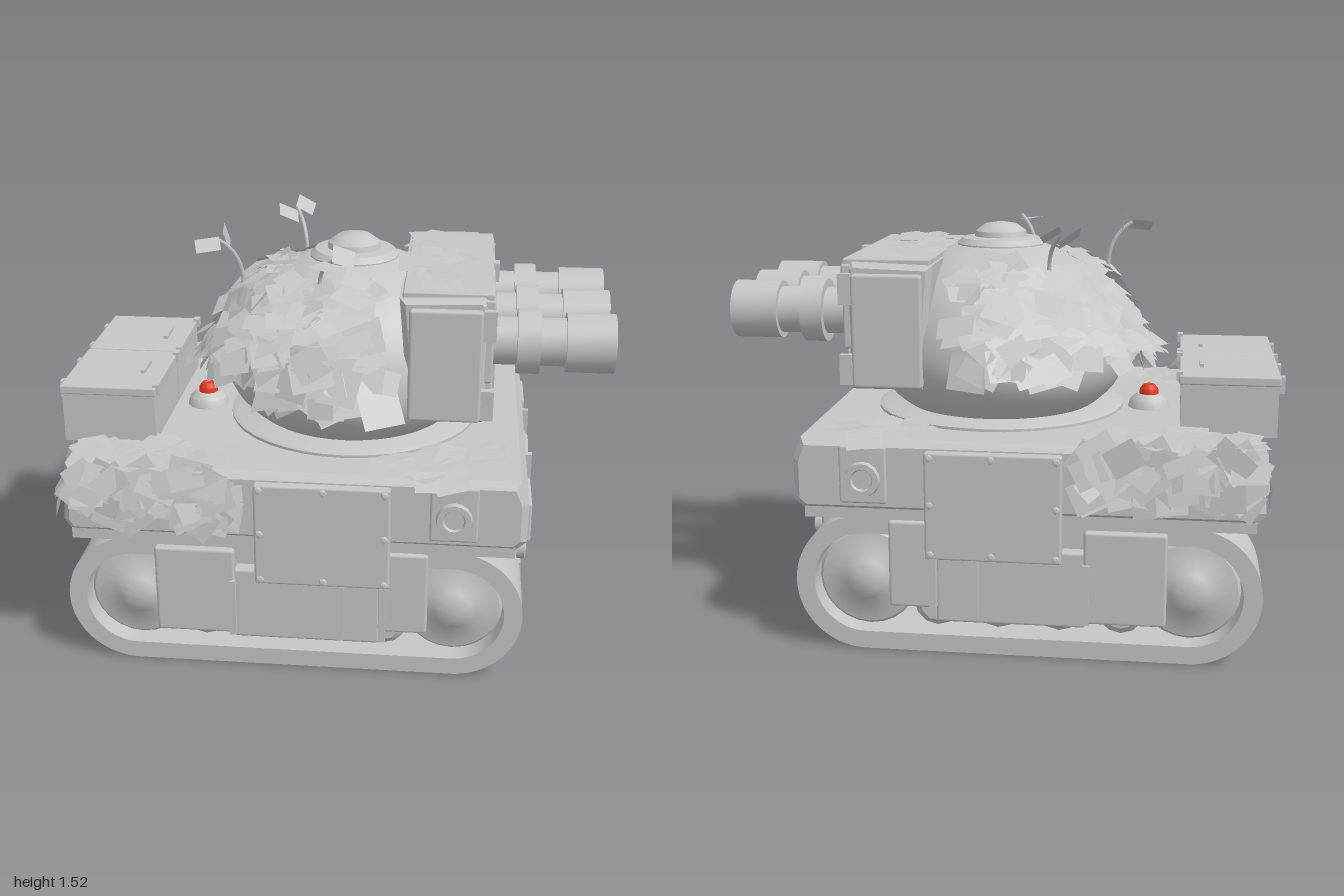
import * as THREE from 'three';
import { mergeGeometries, toCreasedNormals } from 'three/addons/utils/BufferGeometryUtils.js';
import { RoundedBoxGeometry } from 'three/addons/geometries/RoundedBoxGeometry.js';

const paint = (name, color, extra = {}) => Object.assign(new THREE.MeshStandardMaterial({ color, ...extra }), { name });

export function createModel() {
  const grey = paint('armour grey', 0xc6c6c6);
  const leafGrey = paint('leaf grey', 0xc6c6c6, { side: THREE.DoubleSide });
  const orange = paint('lamp orange', 0xe49d2c);
  const cream = paint('lamp cream', 0xe6d890);
  const red = paint('signal red', 0xe23a20);
  const darkRed = paint('tail light red', 0xba2416);

  const model = new THREE.Group();
  model.name = 'tank';
  const body = new THREE.Group();
  body.name = 'tankBody';
  body.position.z = -0.012;
  model.add(body);

  let seed = 7;
  const rnd = (a = 0, b = 1) => {
    seed = (seed * 16807) % 2147483647;
    return a + (b - a) * (seed / 2147483647);
  };
  const add = (name, geo, x = 0, y = 0, z = 0, mat = grey) => {
    const m = new THREE.Mesh(geo, mat);
    m.name = name;
    m.position.set(x, y, z);
    body.add(m);
    return m;
  };
  // Box given by its extents
  const box = (name, x0, x1, y0, y1, z0, z1, mat = grey, r = 0) => {
    const s = [x1 - x0, y1 - y0, z1 - z0];
    const geo = r ? new RoundedBoxGeometry(...s, 1, r) : new THREE.BoxGeometry(...s);
    return add(name, geo, (x0 + x1) / 2, (y0 + y1) / 2, (z0 + z1) / 2, mat);
  };
  // Turned part from [radius, height] pairs; axis is 'x', 'y', 'z' or '-z'
  const turned = (name, pts, axis, x, y, z, mat = grey, seg = 24) => {
    const geo = toCreasedNormals(new THREE.LatheGeometry(pts.map(p => new THREE.Vector2(...p)), seg), 0.6);
    if (axis === 'x') geo.rotateZ(-Math.PI / 2);
    if (axis === 'z') geo.rotateX(Math.PI / 2);
    if (axis === '-z') geo.rotateX(-Math.PI / 2);
    return add(name, geo, x, y, z, mat);
  };
  // Side profile extruded across z, with a chamfer
  const slab = (name, pts, halfWidth, bevel) => {
    const geo = new THREE.ExtrudeGeometry(new THREE.Shape(pts.map(p => new THREE.Vector2(...p))), {
      depth: 2 * (halfWidth - bevel), bevelEnabled: true, bevelSize: bevel, bevelOffset: -bevel,
      bevelThickness: bevel, bevelSegments: 1 });
    return add(name, geo, 0, 0, bevel - halfWidth);
  };

  // Hull
  slab('lowerHull', [[-0.88, 0.17], [-0.85, 0.14], [0.66, 0.14], [0.69, 0.17], [0.71, 0.52], [-0.89, 0.52]], 0.342, 0.012);
  slab('upperHull', [[-0.93, 0.56], [-0.9, 0.515], [0.68, 0.515], [0.72, 0.55], [0.72, 0.7], [0.69, 0.78], [-0.91, 0.78]], 0.63, 0.025);
  turned('turretRing', [[0.47, 0], [0.47, 0.015], [0.45, 0.025], [0, 0.025]], 'y', 0.06, 0.775, 0, grey, 40);

  // Track belt outline: two half circles joined by straights
  const stadium = (Path, r) => {
    const p = new Path();
    p.absarc(0.47, 0.25, r, -Math.PI / 2, Math.PI / 2, false);
    p.absarc(-0.68, 0.25, r, Math.PI / 2, Math.PI * 1.5, false);
    p.closePath();
    return p;
  };
  const belt = stadium(THREE.Shape, 0.25);
  belt.holes.push(stadium(THREE.Path, 0.185));
  const beltGeo = toCreasedNormals(new THREE.ExtrudeGeometry(belt, { depth: 0.274, bevelEnabled: false, curveSegments: 20 }), 0.5);

  for (const s of [1, -1]) {
    const axis = s > 0 ? 'z' : '-z';
    const side = (name, x0, x1, y0, y1, a, b, r = 0, mat = grey) =>
      box(name, x0, x1, y0, y1, Math.min(s * a, s * b), Math.max(s * a, s * b), mat, r);
    // Running gear
    add('trackBelt', beltGeo, 0, 0, s > 0 ? 0.346 : -0.62);
    for (const x of [-0.68, 0.47]) {
      turned('endWheel', [[0.18, 0], [0.18, 0.2], [0.17, 0.21], [0.09, 0.222], [0.07, 0.238], [0.04, 0.25], [0, 0.254]], axis, x, 0.25, s * 0.35);
    }
    for (const x of [-0.44, -0.22, 0, 0.22]) {
      turned('roadWheel', [[0.085, 0], [0.085, 0.2], [0.06, 0.22], [0, 0.22]], axis, x, 0.16, s * 0.35, grey, 12);
    }
    side('wheelCarrier', -0.6, 0.4, 0.15, 0.44, 0.33, 0.45);
    // Side skirts
    side('rearSkirt', -0.6, -0.31, 0.14, 0.48, 0.58, 0.645, 0.012);
    side('middleSkirt', -0.32, 0.21, 0.12, 0.4, 0.58, 0.635, 0.012);
    side('frontSkirt', 0.2, 0.38, 0.17, 0.49, 0.58, 0.635, 0.012);
    side('skirtRail', -0.9, 0.68, 0.49, 0.53, 0.56, 0.62);
    for (const x of [-0.32, 0.07, 0.22]) side('skirtRib', x - 0.012, x + 0.012, 0.14, 0.36, 0.63, 0.655);
    // Bolted armour panel
    side('armourPanel', -0.235, 0.245, 0.36, 0.75, 0.6, 0.66, 0.01);
    for (const x of [-0.215, 0.01, 0.225]) for (const y of [0.38, 0.56, 0.73]) {
      if (x === 0.01 && y === 0.56) continue;
      turned('panelBolt', [[0.014, 0], [0.012, 0.01], [0, 0.014]], axis, x, y, s * 0.659, grey, 8);
    }
    // Side port
    side('portPlate', 0.38, 0.55, 0.55, 0.76, 0.6, 0.638, 0.01);
    turned('sidePort', [[0.065, 0], [0.06, 0.02], [0.04, 0.02], [0.035, 0.01], [0, 0.01]], axis, 0.465, 0.64, s * 0.635, grey, 16);
    // Hull front panels, lamps and hooks
    side('frontPanel', 0.7, 0.732, 0.54, 0.69, 0.37, 0.59, 0.01);
    side('frontRib', 0.7, 0.742, 0.52, 0.71, 0.2, 0.225);
    side('lowerRib', 0.68, 0.725, 0.19, 0.42, 0.11, 0.14);
    turned('smallLampRim', [[0.046, 0], [0.046, 0.05], [0.036, 0.055], [0.036, 0.04], [0, 0.04]], 'x', 0.68, 0.36, s * 0.283, grey, 16);
    turned('smallLampGlass', [[0.036, 0], [0.028, 0.012], [0, 0.016]], 'x', 0.724, 0.36, s * 0.283, orange, 16);
    for (const [x, d, lift] of [[0.69, 1, 0], [-0.865, -1, 0.03]]) {
      box('hookMount', x - 0.03, x + 0.03, 0.25 + lift, 0.29 + lift, s * 0.235 - 0.055, s * 0.235 + 0.055);
      const loop = new THREE.CatmullRomCurve3([[-0.035, 0.27], [-0.035, 0.19], [0, 0.145], [0.035, 0.19], [0.035, 0.27]]
        .map(([z, y]) => new THREE.Vector3(0, y, z)), false, 'catmullrom', 0.1);
      add('towHook', new THREE.TubeGeometry(loop, 16, 0.013, 6), x + d * 0.02, lift, s * 0.235);
    }
    // Tail lights
    side('tailLightHousing', -0.9, -0.87, 0.39, 0.48, 0.18, 0.32);
    side('tailLight', -0.904, -0.899, 0.398, 0.472, 0.188, 0.312, 0, darkRed);
    side('rearRib', -0.9, -0.87, 0.24, 0.48, 0.1, 0.13);
    // Stowage box
    side('stowageBox', -0.97, -0.63, 0.77, 0.96, 0.006, 0.39);
    side('stowageLid', -0.976, -0.622, 0.955, 0.988, 0.004, 0.4, 0.006);
    side('lidHandle', -0.71, -0.695, 0.985, 1.0, 0.13, 0.25);
    for (const z of [0.09, 0.31]) side('lidLatch', -0.995, -0.96, 0.915, 0.975, z - 0.018, z + 0.018);
    for (const z of [0.03, 0.37]) side('lidHinge', -0.635, -0.612, 0.965, 0.998, z - 0.018, z + 0.018);
  }
  box('lowerFrontPanel', 0.68, 0.715, 0.315, 0.385, -0.2, 0.2, grey, 0.01);

  // Headlamp
  turned('headlampRim', [[0.155, 0], [0.155, 0.02], [0.135, 0.035], [0.115, 0.035], [0.105, 0.02], [0, 0.02]], 'x', 0.7, 0.545, 0);
  turned('headlampGlass', [[0.107, 0], [0.095, 0.015], [0.066, 0.022], [0, 0.022]], 'x', 0.718, 0.545, 0, orange);
  turned('headlampCentre', [[0.066, 0], [0, 0.006]], 'x', 0.741, 0.545, 0, cream);

  // Beacon
  turned('beaconBase', [[0.08, 0], [0.07, 0.03], [0.045, 0.05], [0, 0.05]], 'y', -0.51, 0.78, 0, grey, 16);
  turned('beacon', [[0.037, 0], [0.035, 0.02], [0.022, 0.036], [0, 0.042]], 'y', -0.51, 0.829, 0, red, 16);

  // Turret dome, flattened below its widest line
  const domePoint = t => [0.485 * Math.cos(t), 1.0 + (t > 0 ? 0.42 : 0.3) * Math.sin(t)];
  const dome = [[0, 0.79]];
  for (let i = 0; i <= 20; i++) dome.push(domePoint(-0.777 + (i / 20) * (0.777 + Math.PI / 2)));
  dome[dome.length - 1][0] = 0;
  turned('turretDome', dome, 'y', 0.06, 0, 0, grey, 40);
  turned('hatch', [[0.165, 0], [0.165, 0.03], [0.145, 0.05], [0.1, 0.055], [0.095, 0.075], [0.08, 0.085], [0.06, 0.1], [0, 0.11]], 'y', 0.06, 1.37, 0, grey, 20);

  // Launcher housing
  slab('launcherHousing', [[0.25, 1.36], [0.29, 0.91], [0.55, 0.91], [0.56, 1.35], [0.54, 1.37]], 0.42, 0.02);
  box('launcherRoof', 0.26, 0.575, 1.355, 1.38, -0.4, 0.4, grey, 0.006);
  box('launcherLip', 0.54, 0.58, 1.31, 1.36, -0.41, 0.41, grey, 0.008);
  box('lipLatch', 0.57, 0.595, 1.31, 1.38, -0.026, 0.026);
  box('launcherLowerPanel', 0.54, 0.58, 0.93, 1.045, -0.355, 0.355, grey, 0.012);
  for (const s of [1, -1]) {
    box('launcherCheek', 0.285, 0.54, 0.92, 1.33, s * 0.425 - 0.02, s * 0.425 + 0.02, grey, 0.012);
    box('panelRib', 0.57, 0.592, 0.935, 1.03, s * 0.11 - 0.025, s * 0.11 + 0.025);
    for (const y of [0.99, 1.28]) box('cheekHinge', 0.54, 0.585, y - 0.06, y + 0.05, s * 0.425 - 0.015, s * 0.425 + 0.015);
  }
  const barrel = [[0.085, 0.54], [0.085, 0.66], [0.115, 0.66], [0.115, 0.74], [0.085, 0.74], [0.085, 0.83],
    [0.105, 0.83], [0.105, 1], [0.088, 1], [0.088, 0.85], [0, 0.85]];
  for (const z of [-0.28, 0, 0.28]) {
    box('barrelFrame', 0.54, 0.578, 1.055, 1.3, z - 0.125, z + 0.125, grey, 0.01);
    turned('barrel', barrel, 'x', 0, 1.175, z);
  }

  // Foliage: quads facing a given direction
  const probe = new THREE.Object3D();
  const leaf = (list, p, n, jitter, size = rnd(0.09, 0.15)) => {
    const geo = new THREE.PlaneGeometry(size, size * rnd(0.6, 0.95));
    probe.position.copy(p);
    probe.lookAt(p.x + n.x + rnd(-jitter, jitter), p.y + n.y + rnd(-jitter, jitter), p.z + n.z + rnd(-jitter, jitter));
    probe.rotateZ(rnd(-0.7, 0.7));
    probe.updateMatrix();
    list.push(geo.applyMatrix4(probe.matrix));
  };
  const V = (x, y, z) => new THREE.Vector3(x, y, z);

  // Turret leaves hang like shingles over the rear
  const turretLeaves = [];
  for (let i = 0; i < 270; i++) {
    const a = Math.PI + rnd(-1.85, 1.85), t = Math.asin(rnd(-0.08, 0.88));
    const [r, y] = domePoint(t);
    const k = rnd(1.03, 1.17);
    const n = V(Math.cos(a) * Math.cos(t), Math.sin(t) + 0.6, Math.sin(a) * Math.cos(t)).normalize();
    leaf(turretLeaves, V(0.06 + Math.cos(a) * r * k, y + 0.01, Math.sin(a) * r * k), n, 0.3);
  }
  // A fringe shading the beacon
  for (let i = 0; i < 9; i++) leaf(turretLeaves, V(rnd(-0.53, -0.48), rnd(1.0, 1.1), -0.11 + i * 0.026), V(-0.6, 0.8, 0), 0.2);
  add('turretLeaves', mergeGeometries(turretLeaves), 0, 0, 0, leafGrey);

  // Hull and launcher leaves
  const hullLeaves = [];
  for (const s of [1, -1]) {
    for (let i = 0; i < 36; i++) leaf(hullLeaves, V(rnd(-0.87, -0.33), rnd(0.785, 0.8), s * rnd(0.44, 0.62)), V(0, 1, 0), 0.1);
    for (let i = 0; i < 26; i++) leaf(hullLeaves, V(rnd(0.22, 0.63), rnd(0.785, 0.797), s * rnd(0.36, 0.6)), V(0, 1, 0), 0.1);
    for (let i = 0; i < 60; i++) leaf(hullLeaves, V(rnd(-0.88, -0.32), rnd(0.6, 0.77), s * rnd(0.64, 0.67)), V(0, 0.3, s), 0.22);
    for (let i = 0; i < 2; i++) leaf(hullLeaves, V(0.38 + i * 0.07, 0.785, s * 0.65), V(0, 1, s * 0.3), 0.1);
    for (let i = 0; i < 5; i++) leaf(hullLeaves, V(-0.935, rnd(0.6, 0.76), s * rnd(0.46, 0.61)), V(-1, 0.2, 0), 0.15);
  }
  for (let i = 0; i < 22; i++) leaf(hullLeaves, V(rnd(0.28, 0.48), rnd(1.385, 1.4), rnd(-0.36, 0.32)), V(0, 1, 0), 0.12);
  add('hullLeaves', mergeGeometries(hullLeaves), 0, 0, 0, leafGrey);

  // Twigs rising from the turret
  const twigLeaves = [];
  for (const [x0, y0, z0, x1, z1] of [[-0.34, 1.3, 0.1, -0.43, 0.12], [-0.15, 1.33, -0.27, -0.2, -0.38], [-0.04, 1.36, 0.27, 0.02, 0.35]]) {
    const path = new THREE.QuadraticBezierCurve3(V(x0, y0, z0), V(x0, 1.42, z0), V(x1, 1.47, z1));
    add('twig', new THREE.TubeGeometry(path, 8, 0.008, 5), 0, 0, 0);
    for (const d of [-0.03, 0.03]) leaf(twigLeaves, V(x1 + d, 1.465 + d * 0.3, z1 - d), V(0.5, 0.5, 0.5), 0.6, 0.09);
  }
  add('twigLeaves', mergeGeometries(twigLeaves), 0, 0, 0, leafGrey);

  return model;
}
